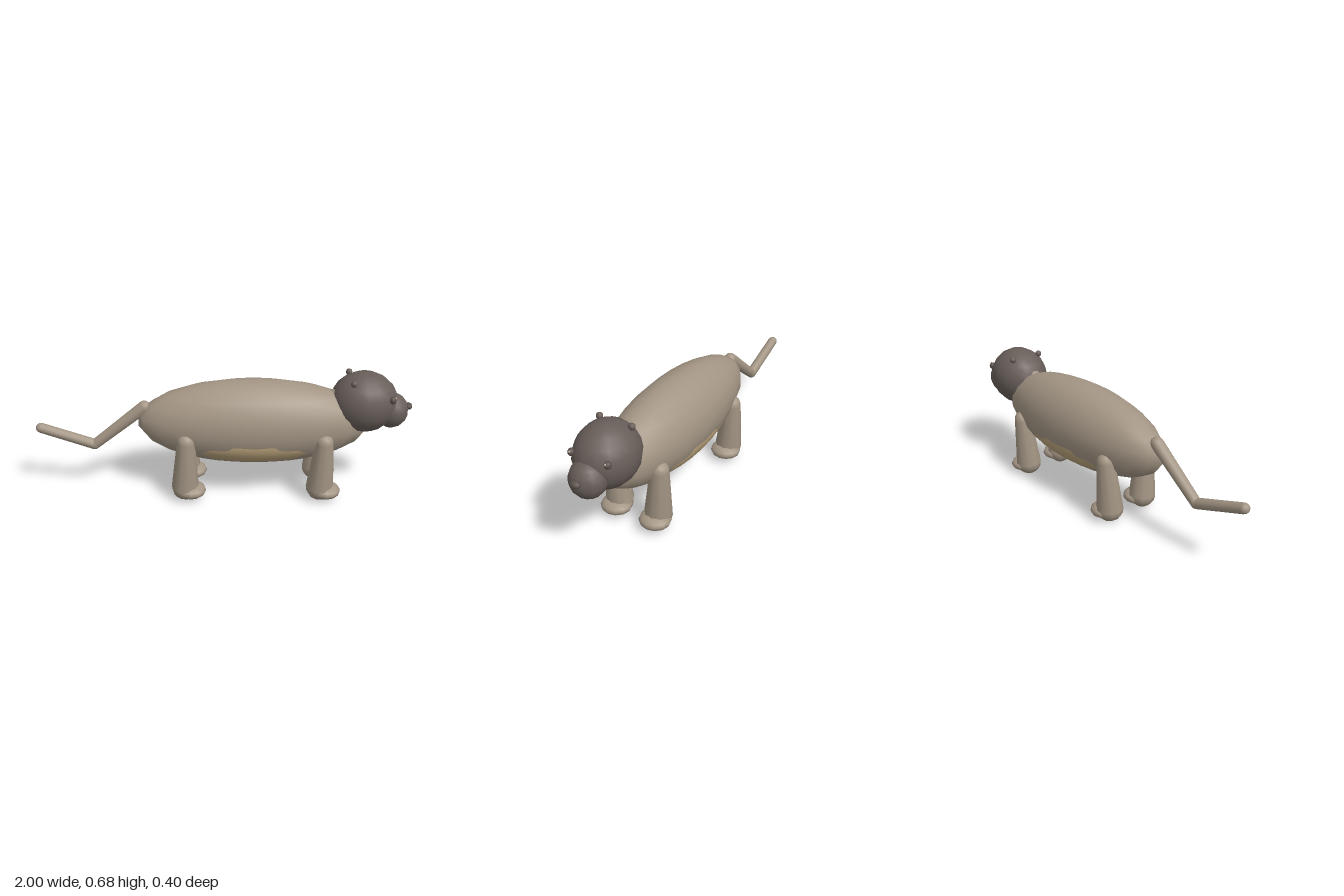
import * as THREE from 'three';

const material = (name, color) => {
  const m = new THREE.MeshStandardMaterial({ color });
  m.name = name;
  return m;
};

export function createModel() {
  const fur = material('taupe fur', 0xa39584);
  const belly = material('tan belly', 0xb69f78);
  const face = material('dark face', 0x685e59);
  const dark = material('dark eyes and nose', 0x5b514c);
  const glint = material('eye glint', 0xb5a696);
  const model = new THREE.Group();
  model.name = 'animal';

  // Ellipsoid with its poles on the y axis
  function ellipsoid(name, mat, pos, radii, wide = 16, high = 10, parent = model) {
    const geo = new THREE.SphereGeometry(1, wide, high);
    geo.scale(...radii);
    const mesh = new THREE.Mesh(geo, mat);
    mesh.name = name;
    mesh.position.set(...pos);
    parent.add(mesh);
    return mesh;
  }

  // Tapered limb with rounded ends running from a to b
  function limb(name, mat, a, b, ra, rb, sides = 12, parent = model) {
    const start = new THREE.Vector3(...a);
    const dir = new THREE.Vector3(...b).sub(start);
    const length = dir.length();
    const profile = [];
    for (let i = 0; i <= 4; i++) {
      const t = (i / 4) * Math.PI / 2;
      profile.push(new THREE.Vector2(ra * Math.sin(t), -ra * Math.cos(t)));
    }
    for (let i = 0; i <= 4; i++) {
      const t = (i / 4) * Math.PI / 2;
      profile.push(new THREE.Vector2(rb * Math.cos(t), length + rb * Math.sin(t)));
    }
    const mesh = new THREE.Mesh(new THREE.LatheGeometry(profile, sides), mat);
    mesh.name = name;
    mesh.position.copy(start);
    mesh.quaternion.setFromUnitVectors(new THREE.Vector3(0, 1, 0), dir.normalize());
    parent.add(mesh);
  }

  // Trunk, with the belly patch showing low on both flanks
  ellipsoid('body', fur, [0.165, 0.41, 0], [0.62, 0.232, 0.194], 20, 11);
  ellipsoid('belly', belly, [0.165, 0.33, 0], [0.48, 0.139, 0.18], 28, 16);
  limb('neck', fur, [0.595, 0.555, 0], [0.7, 0.51, 0], 0.038, 0.08);

  // Head and muzzle
  const head = new THREE.Group();
  head.name = 'head';
  model.add(head);
  ellipsoid('skull', face, [0.742, 0.522, 0], [0.178, 0.164, 0.155], 16, 10, head);
  ellipsoid('muzzle', face, [0.89, 0.473, 0], [0.09, 0.095, 0.093], 14, 9, head);
  ellipsoid('nose', dark, [0.98, 0.495, 0], [0.02, 0.018, 0.028], 12, 8, head);
  for (const side of [1, -1]) {
    ellipsoid('ear', face, [0.67, 0.653, side * 0.09], [0.017, 0.018, 0.018], 10, 8, head);
    ellipsoid('eye', dark, [0.872, 0.568, side * 0.1], [0.018, 0.02, 0.018], 12, 8, head);
    ellipsoid('eyeGlint', glint, [0.887, 0.578, side * 0.098], [0.006, 0.007, 0.006], 8, 6, head);
  }

  // Legs and paws, front and rear on both sides
  for (const [name, x] of [['front', 0.52], ['rear', -0.2]]) {
    for (const side of [1, -1]) {
      const leg = new THREE.Group();
      leg.name = name + (side > 0 ? 'RightLeg' : 'LeftLeg');
      leg.position.x = x;
      model.add(leg);
      limb('leg', fur, [0.01, 0.345, side * 0.138], [0, 0.074, side * 0.117], 0.048, 0.073, 10, leg);
      ellipsoid('paw', fur, [0.032, 0.054, side * 0.117], [0.08, 0.04, 0.084], 12, 8, leg);
    }
  }

  // Two-part bent tail
  limb('tailBase', fur, [-0.415, 0.487, 0], [-0.69, 0.268, 0], 0.035, 0.028);
  limb('tailTip', fur, [-0.69, 0.268, 0], [-0.973, 0.365, 0], 0.028, 0.027);

  return model;
}
